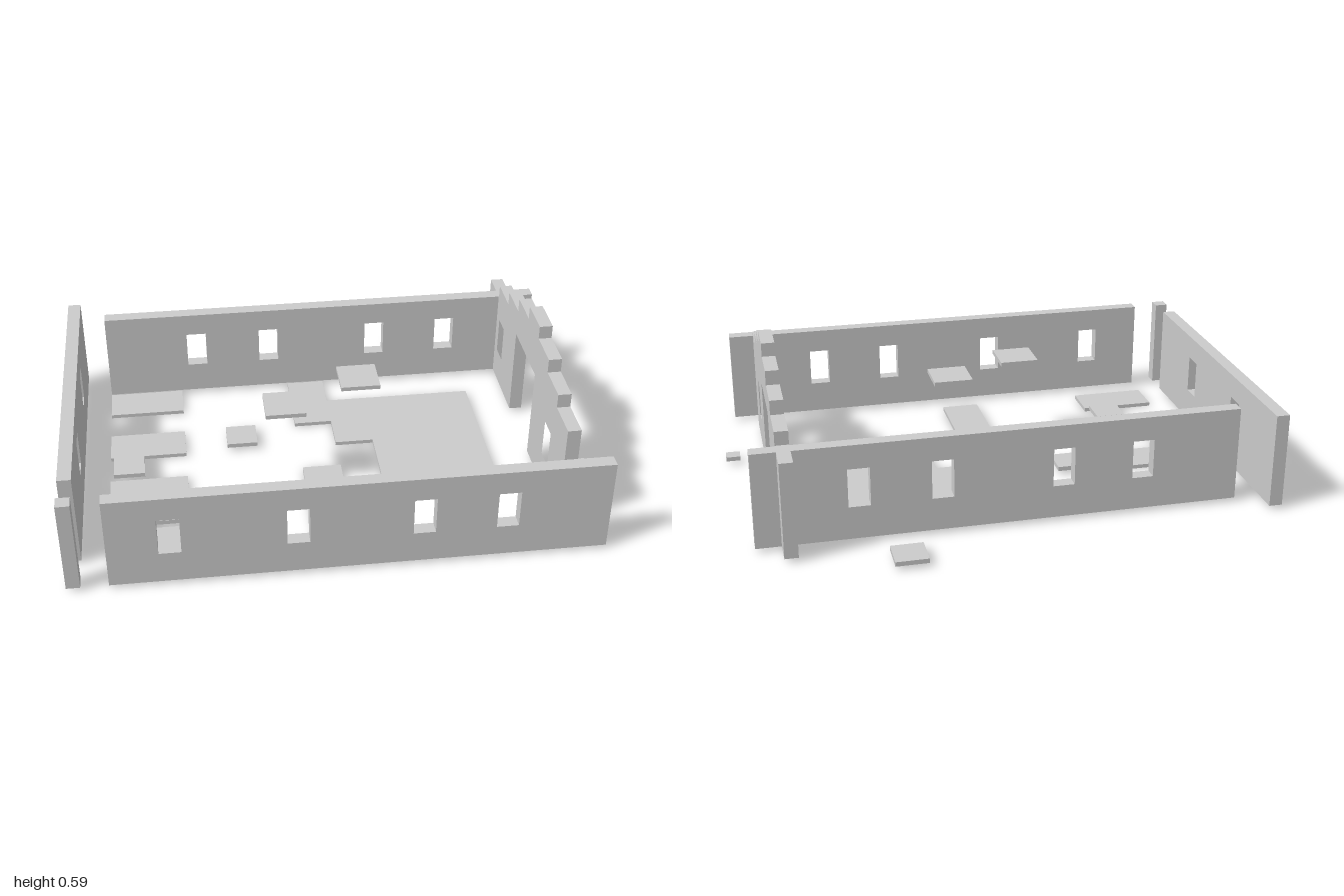
import * as THREE from 'three';

const BASE = 0.015, TOP = 0.378, THICK = 0.05;
const WIN_W = 0.08, WIN_LOW = 0.14, WIN_HIGH = 0.287;

export function createModel() {
  const group = new THREE.Group();
  const mat = new THREE.MeshStandardMaterial({ color: 0xcccccc, flatShading: true });

  function add(name, geometry) {
    const mesh = new THREE.Mesh(geometry, mat);
    mesh.name = name;
    group.add(mesh);
    return mesh;
  }

  // Box given by its limits
  function block(name, x0, x1, y0, y1, z0, z1) {
    add(name, new THREE.BoxGeometry(x1 - x0, y1 - y0, z1 - z0))
      .position.set((x0 + x1) / 2, (y0 + y1) / 2, (z0 + z1) / 2);
  }

  // Upright wall from an outline, pierced by window openings centred at the given places
  function wall(name, outline, windows) {
    const shape = new THREE.Shape(outline.map(([u, y]) => new THREE.Vector2(u, y)));
    for (const c of windows) {
      const a = c - WIN_W / 2, b = c + WIN_W / 2;
      shape.holes.push(new THREE.Path([[a, WIN_LOW], [a, WIN_HIGH], [b, WIN_HIGH], [b, WIN_LOW]]
        .map(([u, y]) => new THREE.Vector2(u, y))));
    }
    return add(name, new THREE.ExtrudeGeometry(shape, { depth: THICK, bevelEnabled: false }));
  }
  const rect = (a, b) => [[a, BASE], [b, BASE], [b, TOP], [a, TOP]];

  // Long walls
  wall('frontWall', rect(-0.85, 0.94), [-0.63, -0.18, 0.267, 0.567]).position.z = 0.69;
  wall('backWall', rect(-0.85, 0.94), [-0.48, -0.18, 0.267, 0.567]).position.z = -0.51;

  // End wall without a door; its outline runs along -z
  const endWall = wall('endWall', rect(-0.595, 0.605), [-0.22, 0.23]);
  endWall.rotation.y = Math.PI / 2;
  endWall.position.x = -1;

  // Stepped gable with doorway
  const heights = [0.43, 0.485, 0.54, 0.592, 0.54, 0.485, 0.43];
  const gableOutline = [[0.455, BASE], [0.155, BASE], [0.155, TOP], [-0.145, TOP],
    [-0.145, BASE], [-0.595, BASE]];
  heights.forEach((h, i) => {
    const u = -0.595 + i * 0.15;
    gableOutline.push([u, h], [u + 0.15, h]);
  });
  const gable = wall('steppedGable', gableOutline, [-0.37, 0.38]);
  gable.rotation.y = Math.PI / 2;
  gable.position.x = 0.797;

  // Corner pieces
  block('cornerPost', -1, -0.95, BASE, TOP, 0.69, 0.74);
  block('gablePost', 0.797, 0.847, BASE, TOP, -0.605, -0.455);

  // Row of floor slabs beside the end wall
  for (const z of [-0.455, -0.155, 0.145, 0.445])
    block('sideFloorSlab', -0.85, -0.553, 0, BASE, z, z + 0.15);

  // Main floor
  block('mainFloorBack', 0.047, 0.643, 0, BASE, -0.305, -0.005);
  block('mainFloorFront', 0.197, 0.643, 0, BASE, -0.005, 0.295);
  block('backFloorStrip', -0.103, 0.047, 0, BASE, -0.455, -0.155);
  block('frontFloorStrip', -0.103, 0.047, 0, BASE, 0.145, 0.595);

  // Raised plates level with the wall tops
  block('raisedPlate', 0.047, 0.197, 0.362, TOP, -0.005, 0.145);
  block('raisedPlate', -0.253, -0.103, 0.362, TOP, 0.145, 0.295);

  // Loose square tiles
  const tiles = [[-0.327, -0.08], [-0.777, 0.068], [-0.627, 0.368], [0.422, -0.682]];
  for (const [x, z] of tiles)
    block('looseTile', x - 0.06, x + 0.06, BASE, 0.032, z - 0.06, z + 0.06);
  block('smallTile', 0.945, 1, BASE, 0.032, 0.242, 0.293);

  return group;
}
